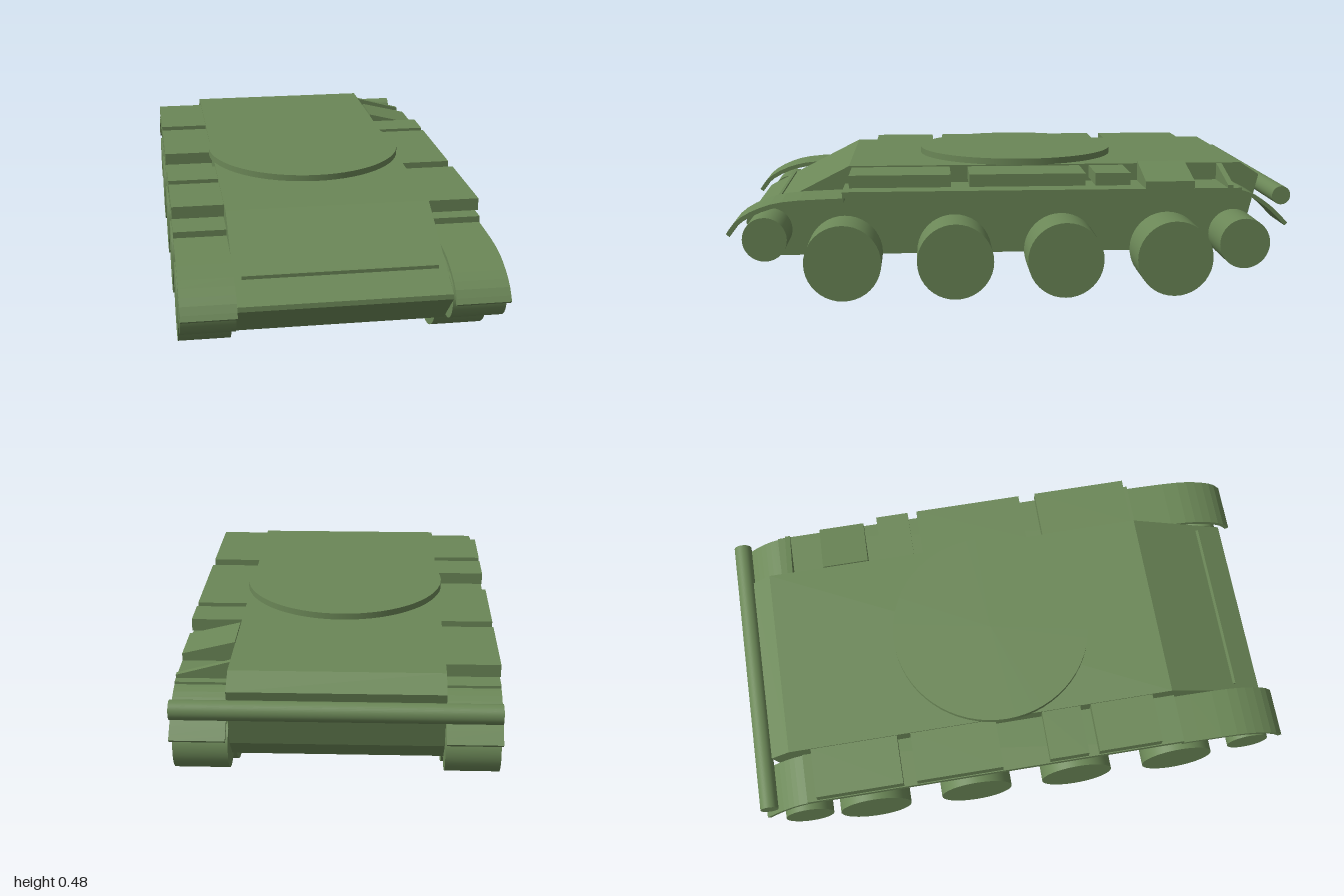
import * as THREE from 'three';

const material = new THREE.MeshStandardMaterial({ color: 0x6b8757 });

function add(group, name, geometry) {
  const mesh = new THREE.Mesh(geometry, material);
  mesh.name = name;
  group.add(mesh);
  return mesh;
}

// Extrudes a side profile of [z, y] points across the width x0..x1.
function sideExtrude(points, x0, x1) {
  const shape = new THREE.Shape(points.map(([z, y]) => new THREE.Vector2(z, y)));
  const geometry = new THREE.ExtrudeGeometry(shape, { depth: x1 - x0, bevelEnabled: false });
  return geometry.rotateY(-Math.PI / 2).translate(x1, 0, 0);
}

// Box given by its limits on each axis.
function box(x0, x1, y0, y1, z0, z1) {
  return new THREE.BoxGeometry(x1 - x0, y1 - y0, z1 - z0)
    .translate((x0 + x1) / 2, (y0 + y1) / 2, (z0 + z1) / 2);
}

// Cylinder lying along x.
function roller(radius, x0, x1, y, z) {
  return new THREE.CylinderGeometry(radius, radius, x1 - x0, 40)
    .rotateZ(Math.PI / 2).translate((x0 + x1) / 2, y, z);
}

// Closed outline of a curved sheet: a smooth path of [z, y] points plus its offset.
function sheet(path, thickness) {
  const curve = new THREE.SplineCurve(path.map(([z, y]) => new THREE.Vector2(z, y)));
  const upper = [], lower = [];
  for (let i = 0; i <= 10; i++) {
    const p = curve.getPoint(i / 10), t = curve.getTangent(i / 10);
    const s = Math.sign(t.x) * thickness;
    upper.push([p.x, p.y]);
    lower.unshift([p.x + t.y * s, p.y - t.x * s]);
  }
  return upper.concat(lower);
}

export function createModel() {
  const model = new THREE.Group();
  model.name = 'trackedHull';
  const inner = 0.357, outer = 0.54;

  // Armoured hull
  add(model, 'hull', sideExtrude([
    [0.84, 0.13], [0.955, 0.25], [0.953, 0.267], [0.58, 0.457], [-0.86, 0.457],
    [-0.93, 0.412], [-0.88, 0.2], [-0.82, 0.13],
  ], -inner, inner));

  // Turret ring and splash board on the glacis
  add(model, 'turretRing', new THREE.CylinderGeometry(0.37, 0.37, 0.026, 64).translate(0, 0.467, -0.05));
  add(model, 'splashBoard', box(-0.33, 0.33, 0.305, 0.33, 0.843, 0.853));

  // Log carried across the rear
  add(model, 'rearLog', roller(0.033, -0.535, 0.535, 0.364, -0.965));

  const frontGuard = sheet([[0.59, 0.372], [0.78, 0.364], [0.88, 0.342], [0.96, 0.3], [1, 0.25]], 0.016);
  const rearGuard = sheet([[-0.8, 0.39], [-0.86, 0.372], [-0.93, 0.325], [-0.99, 0.265]], 0.014);

  for (const side of [-1, 1]) {
    const x0 = side < 0 ? -outer : inner, x1 = side < 0 ? -inner : outer;
    const running = new THREE.Group();
    running.name = side < 0 ? 'rightRunningGear' : 'leftRunningGear';
    model.add(running);

    // Road wheels, front idler and rear sprocket
    for (const z of [0.6, 0.2, -0.195, -0.59]) add(running, 'roadWheel', roller(0.137, x0, x1, 0.137, z));
    add(running, 'idler', roller(0.078, x0, x1, 0.228, 0.868));
    add(running, 'sprocket', roller(0.091, x0, x1, 0.19, -0.84));

    // Track guards
    add(running, 'fender', box(x0, x1, 0.372, 0.394, -0.82, 0.595));
    add(running, 'frontMudguard', sideExtrude(frontGuard, x0, x1));
    add(running, 'rearMudguard', sideExtrude(rearGuard, x0, x1));

    // Stowage boxes, laid out differently on each side
    const spans = side < 0
      ? [[-0.78, -0.46], [-0.41, -0.09], [0.085, 0.23], [0.27, 0.505]]
      : [[0.215, 0.57], [-0.26, 0.15], [-0.42, -0.295]];
    for (const [z0, z1] of spans) add(running, 'stowageBox', box(x0, x1, 0.408, 0.452, z0, z1));
  }

  // Sloped exhaust cover and thin bracket on the left fender
  const cover = new THREE.Shape([
    [inner, 0.465], [inner, 0.394], [outer, 0.394], [outer, 0.42],
  ].map(([x, y]) => new THREE.Vector2(x, y)));
  add(model, 'exhaustCover', new THREE.ExtrudeGeometry(cover, { depth: 0.175, bevelEnabled: false })
    .translate(0, 0, -0.65));
  const bracket = new THREE.Shape([
    [inner, 0.455], [inner, 0.394], [outer, 0.394], [outer, 0.405],
  ].map(([x, y]) => new THREE.Vector2(x, y)));
  add(model, 'fenderBracket', new THREE.ExtrudeGeometry(bracket, { depth: 0.02, bevelEnabled: false })
    .translate(0, 0, -0.79));

  return model;
}
